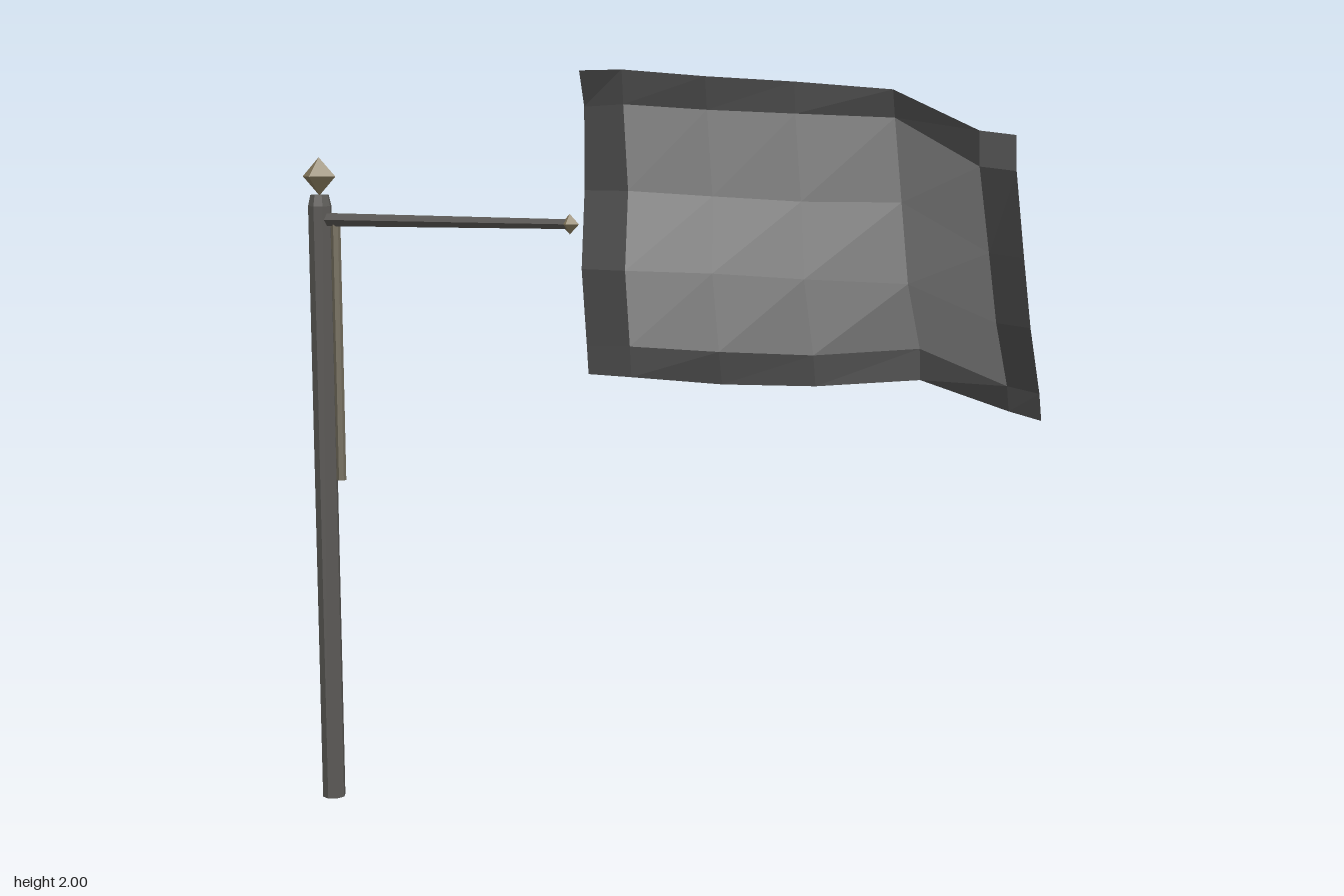
import * as THREE from 'three';

const mat = (color, side = THREE.FrontSide) =>
  new THREE.MeshStandardMaterial({ color, flatShading: true, side });
const iron = mat(0x5c5a57), brass = mat(0x8a7d60), cord = mat(0x777060);
const clothMat = mat(0xa8a8a8, THREE.DoubleSide);
const borderMat = mat(0x585858, THREE.DoubleSide);

// Flag grid: one entry per column, heights and depths run from top to bottom
const columns = [
  { x: -0.17, y: [2.00, 1.91, 1.70, 1.50, 1.30, 1.225], z: [0.01, -0.02, -0.02, 0.00, -0.03, -0.04] },
  { x: -0.04, y: [2.00, 1.915, 1.70, 1.50, 1.305, 1.225], z: [0.04, 0.03, 0.00, 0.02, -0.01, -0.02] },
  { x: 0.20, y: [1.98, 1.90, 1.69, 1.50, 1.30, 1.215], z: [0.085, 0.07, 0.03, 0.03, -0.02, -0.045] },
  { x: 0.43, y: [1.965, 1.89, 1.68, 1.49, 1.295, 1.215], z: [0.09, 0.08, 0.03, 0.00, -0.08, -0.10] },
  { x: 0.67, y: [1.945, 1.88, 1.68, 1.48, 1.31, 1.23], z: [0.08, 0.06, -0.01, -0.08, -0.20, -0.21] },
  { x: 0.91, y: [1.85, 1.77, 1.57, 1.40, 1.235, 1.17], z: [0.21, 0.20, 0.09, 0.00, -0.13, -0.155] },
  { x: 0.99, y: [1.84, 1.76, 1.56, 1.39, 1.22, 1.15], z: [0.19, 0.18, 0.08, -0.01, -0.13, -0.16] },
];

// Builds the grid cells that pass the test, each split from lower left to upper right
function flagPart(name, material, keep) {
  const rows = columns[0].y.length;
  const positions = columns.flatMap(c => c.y.flatMap((y, r) => [c.x, y, c.z[r]]));
  const index = [];
  for (let c = 0; c < columns.length - 1; c++) {
    for (let r = 0; r < rows - 1; r++) {
      if (!keep(c, r)) continue;
      const a = c * rows + r, b = a + 1, d = a + rows, e = d + 1;
      index.push(a, b, d, b, e, d);
    }
  }
  const geometry = new THREE.BufferGeometry();
  geometry.setAttribute('position', new THREE.Float32BufferAttribute(positions, 3));
  geometry.setIndex(index);
  geometry.computeVertexNormals();
  const mesh = new THREE.Mesh(geometry, material);
  mesh.name = name;
  return mesh;
}

export function createModel() {
  const group = new THREE.Group();
  group.name = 'flagOnPole';
  const zc = 0.006, poleX = -0.943;
  const add = (name, geometry, material, x, y, z = zc) => {
    const mesh = new THREE.Mesh(geometry, material);
    mesh.name = name;
    mesh.position.set(x, y, z);
    group.add(mesh);
    return mesh;
  };

  // Upright pole with a chamfered top and a pointed finial
  add('pole', new THREE.CylinderGeometry(0.032, 0.032, 1.65, 8), iron, poleX, 0.825);
  add('poleCap', new THREE.CylinderGeometry(0.025, 0.032, 0.03, 8), iron, poleX, 1.665);
  add('finial', new THREE.OctahedronGeometry(0.051), brass, poleX, 1.729);

  // Horizontal arm with a small pointed tip
  const arm = add('arm', new THREE.CylinderGeometry(0.014, 0.02, 0.74, 6), iron, -0.572, 1.614);
  arm.rotation.z = -Math.PI / 2;
  add('armTip', new THREE.OctahedronGeometry(0.026), brass, -0.2, 1.614);

  // Cord hanging beside the pole
  add('hangingCord', new THREE.CylinderGeometry(0.013, 0.013, 0.7, 6), cord, -0.895, 1.255);

  // Waving flag: pale centre and dark border
  const inner = (c, r) => c > 0 && c < 5 && r > 0 && r < 4;
  group.add(flagPart('flagCentre', clothMat, inner));
  group.add(flagPart('flagBorder', borderMat, (c, r) => !inner(c, r)));
  return group;
}
